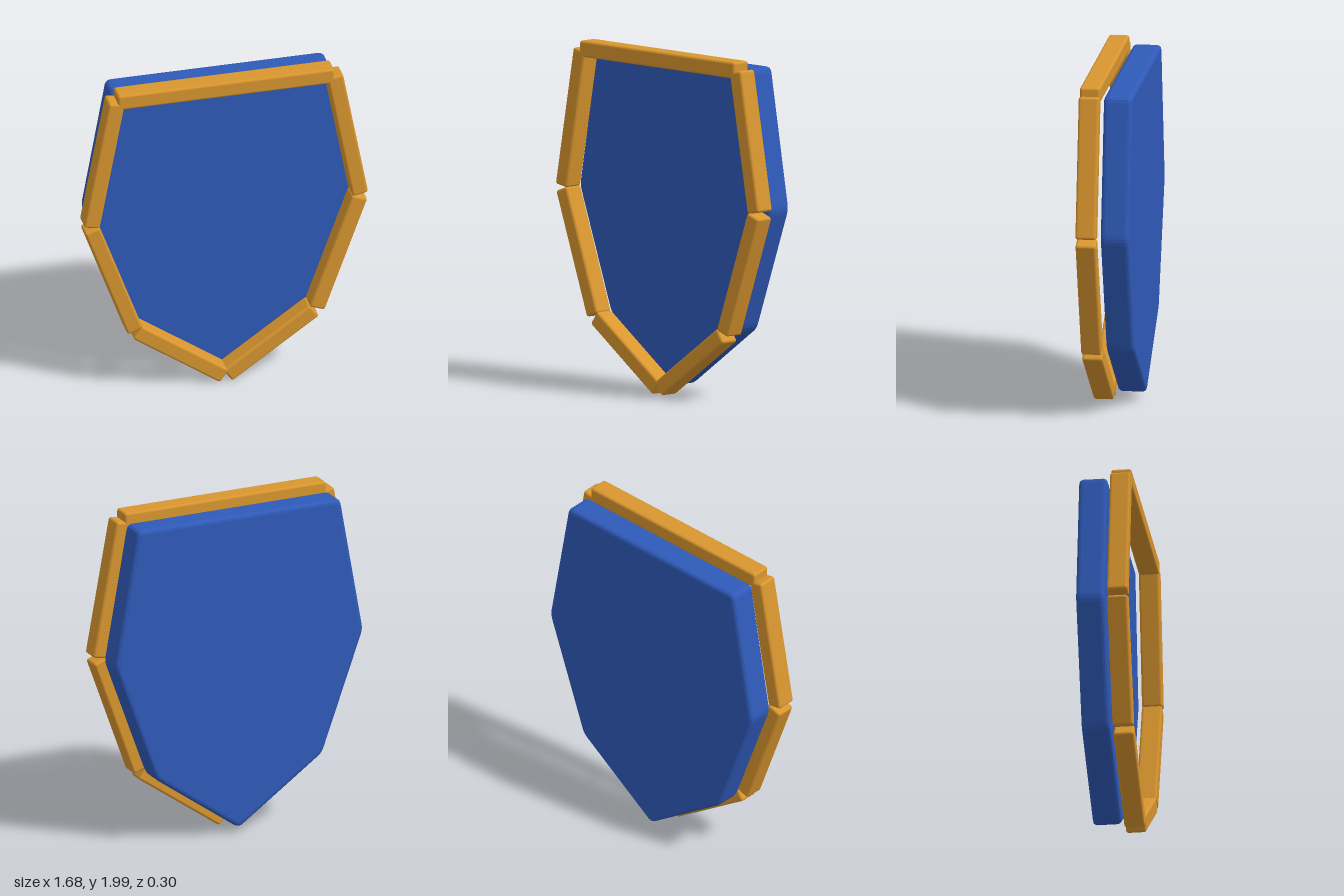
import * as THREE from 'three';
import { RoundedBoxGeometry } from 'three/addons/geometries/RoundedBoxGeometry.js';

const blue = new THREE.MeshStandardMaterial({ name: 'shieldBlue', color: 0x2f5ab9 });
const gold = new THREE.MeshStandardMaterial({ name: 'trimGold', color: 0xd9962f });

// Closed polygon whose corners are softened over a short trim distance
function softPolygon(points, trim) {
  const shape = new THREE.Shape();
  const n = points.length;
  points.forEach((p, i) => {
    const prev = points[(i + n - 1) % n];
    const next = points[(i + 1) % n];
    const a = p.clone().add(prev.clone().sub(p).setLength(trim));
    const b = p.clone().add(next.clone().sub(p).setLength(trim));
    if (i === 0) shape.moveTo(a.x, a.y);
    else shape.lineTo(a.x, a.y);
    shape.quadraticCurveTo(p.x, p.y, b.x, b.y);
  });
  shape.closePath();
  return shape;
}

export function createModel() {
  const group = new THREE.Group();
  group.name = 'shield';

  // Body: seven-sided plate with bevelled rims
  const half = [[0.53, 0.42], [0.79, 1.135], [0.645, 1.95]];
  const outline = [
    new THREE.Vector2(0, 0.045),
    ...half.map(([x, y]) => new THREE.Vector2(x, y)),
    ...half.slice().reverse().map(([x, y]) => new THREE.Vector2(-x, y)),
  ];
  const bevel = 0.025;
  const zBack = -0.152, zFront = 0.013;
  const bodyGeo = new THREE.ExtrudeGeometry(softPolygon(outline, 0.032), {
    depth: zFront - zBack - 2 * bevel,
    bevelThickness: bevel,
    bevelSize: bevel,
    bevelOffset: -bevel,
    bevelSegments: 3,
    curveSegments: 3,
  });
  bodyGeo.translate(0, 0, zBack + bevel);
  const body = new THREE.Mesh(bodyGeo, blue);
  body.name = 'body';
  group.add(body);

  // Trim: rounded bars laid along each edge, in front of the body
  function bar(name, x1, y1, x2, y2) {
    const length = Math.hypot(x2 - x1, y2 - y1);
    const mesh = new THREE.Mesh(new RoundedBoxGeometry(length, 0.095, 0.118, 2, 0.015), gold);
    mesh.name = name;
    mesh.position.set((x1 + x2) / 2, (y1 + y2) / 2, 0.093);
    mesh.rotation.z = Math.atan2(y2 - y1, x2 - x1);
    group.add(mesh);
  }

  bar('topBar', -0.64, 1.9525, 0.64, 1.9525);
  for (const [side, s] of [['left', 1], ['right', -1]]) {
    bar(side + 'UpperBar', s * 0.645, 1.948, s * 0.794, 1.142);
    bar(side + 'MiddleBar', s * 0.792, 1.126, s * 0.537, 0.418);
    bar(side + 'LowerBar', s * 0.523, 0.406, s * 0.009, 0.045);
  }
  return group;
}
